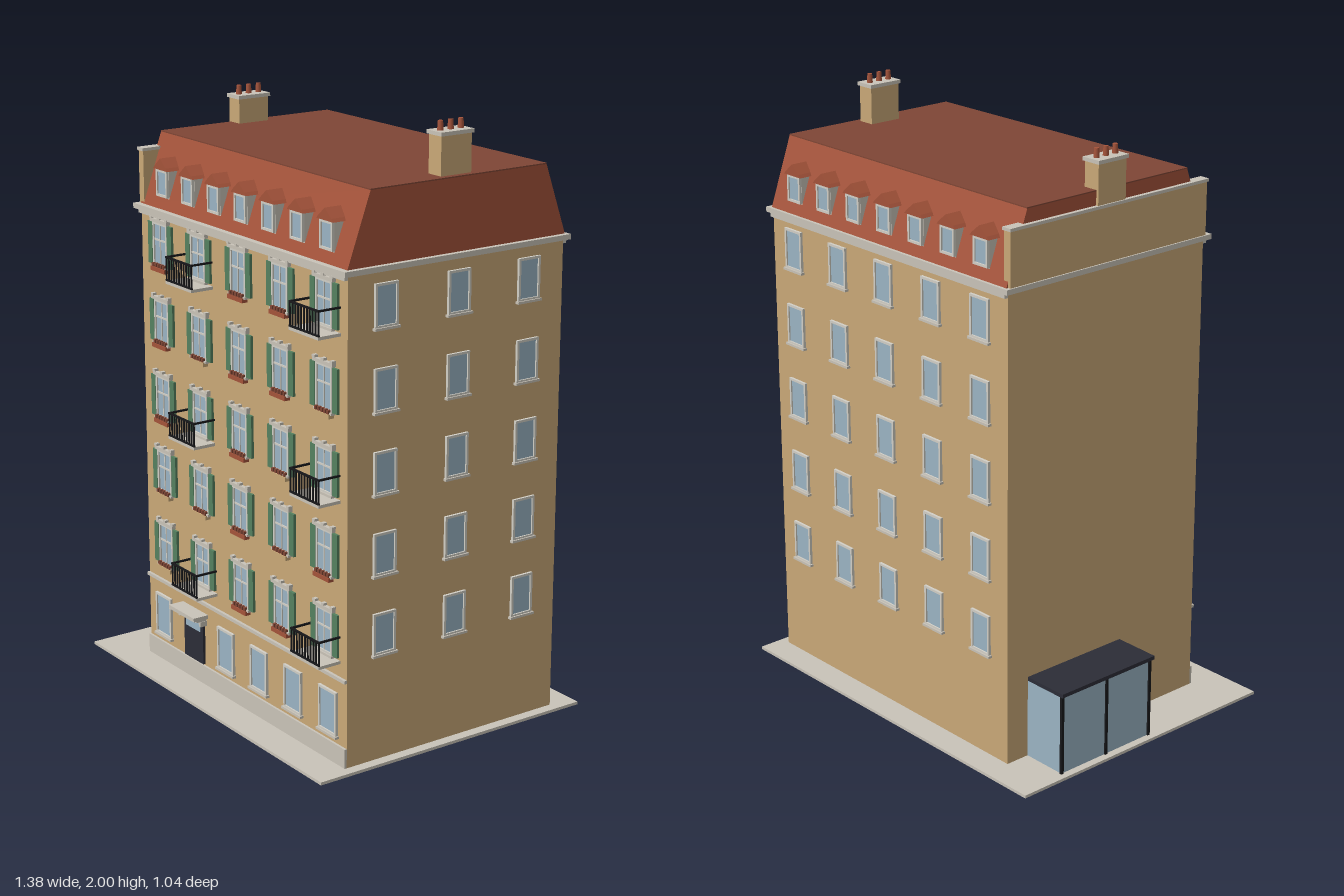
import * as THREE from 'three';

const mat = (name, color) => {
  const m = new THREE.MeshStandardMaterial({ color });
  m.name = name;
  return m;
};
const WALL = mat('ochre render', 0xc9a877);
const STONE = mat('pale stone', 0xc9c3b8);
const TILE = mat('red roof tile', 0xa4533a);
const DECK = mat('brown roof deck', 0x7f4635);
const GLASS = mat('window glass', 0x9ab3c3);
const FRAME = mat('window frame', 0xd2cfc6);
const GREEN = mat('green shutter', 0x55805f);
const DARK = mat('dark slate', 0x2c2d37);
const IRON = mat('black iron', 0x17171a);

// Building extents
const X0 = -0.505, X1 = 0.655, Z0 = -0.431, Z1 = 0.399;
const COLUMNS = [-0.382, -0.153, 0.079, 0.311, 0.543];
const FLOOR = (i) => 0.365 + i * 0.262;

// Box given by its minimum and maximum corners
function box(parent, name, m, x0, x1, y0, y1, z0, z1) {
  const mesh = new THREE.Mesh(new THREE.BoxGeometry(x1 - x0, y1 - y0, z1 - z0), m);
  mesh.position.set((x0 + x1) / 2, (y0 + y1) / 2, (z0 + z1) / 2);
  mesh.name = name;
  parent.add(mesh);
  return mesh;
}

function group(parent, name, x = 0, y = 0, z = 0, turn = 0) {
  const g = new THREE.Group();
  g.name = name;
  g.position.set(x, y, z);
  g.rotation.y = turn;
  parent.add(g);
  return g;
}

// Prism: outline in (z, y), extruded along x from x0 to x1
function prismAlongX(parent, name, m, pts, x0, x1) {
  const shape = new THREE.Shape(pts.map(([z, y]) => new THREE.Vector2(-z, y)));
  const geo = new THREE.ExtrudeGeometry(shape, { depth: x1 - x0, bevelEnabled: false });
  geo.rotateY(Math.PI / 2);
  geo.translate(x0, 0, 0);
  const mesh = new THREE.Mesh(geo, m);
  mesh.name = name;
  parent.add(mesh);
  return mesh;
}

// Framed window facing local +z, sill at local y = 0
function addWindow(g, w, h, sill = true) {
  const a = w / 2, t = 0.008, d = 0.009;
  box(g, 'glass', GLASS, -a + t, a - t, t, h - t, 0, 0.004);
  for (const s of [-1, 1]) {
    const c = s * (a - t / 2);
    box(g, 'frameSide', FRAME, c - t / 2, c + t / 2, 0, h, 0, d);
  }
  box(g, 'frameTop', FRAME, -a + t, a - t, h - t, h, 0, d);
  box(g, 'frameBottom', FRAME, -a + t, a - t, 0, t, 0, d);
  if (sill) box(g, 'sill', STONE, -a - 0.005, a + 0.005, -0.006, 0.002, 0, 0.014);
}

// Front window with glazing bars, lintel crown and shutters
function addFrontWindow(g) {
  addWindow(g, 0.086, 0.146);
  box(g, 'glazingBar', FRAME, -0.002, 0.002, 0.008, 0.138, 0, 0.007);
  box(g, 'glazingRail', FRAME, -0.035, 0.035, 0.084, 0.09, 0, 0.007);
  box(g, 'lintel', STONE, -0.052, 0.052, 0.146, 0.157, 0, 0.014);
  for (const x of [-0.046, 0, 0.046]) box(g, 'crown', STONE, x - 0.007, x + 0.007, 0.157, 0.165, 0, 0.014);
  for (const s of [-1, 1]) {
    box(g, 'shutter', GREEN, s * 0.058 - 0.013, s * 0.058 + 0.013, 0.002, 0.143, 0, 0.009);
  }
}

// Window box, planted when it is red
function addWindowBox(g, red) {
  box(g, 'windowBox', red ? TILE : WALL, -0.042, 0.042, -0.017, -0.003, 0, 0.02);
  for (let i = 0; i < 5; i++) {
    const x = -0.032 + i * 0.016;
    box(g, 'plant', DECK, x - 0.005, x + 0.005, -0.003, 0.009, 0.006, 0.018);
  }
}

// Balcony with iron railing
function addBalcony(g) {
  const a = 0.077, d = 0.082, top = 0.075, t = 0.006;
  box(g, 'balconySlab', STONE, -a, a, -0.016, -0.006, 0, d);
  box(g, 'frontRail', IRON, -a, a, top - t, top, d - t, d);
  box(g, 'footRail', IRON, -a, a, -0.006, -0.001, d - t, d);
  for (const s of [-1, 1]) {
    const c = s * (a - t / 2);
    box(g, 'sideRail', IRON, c - t / 2, c + t / 2, top - t, top, 0, d - t);
  }
  for (let i = 0; i <= 10; i++) {
    const x = -a + 0.003 + (i * (2 * a - 0.006)) / 10;
    box(g, 'baluster', IRON, x - 0.0025, x + 0.0025, -0.006, top - t, d - 0.005, d - 0.001);
  }
}

// Gabled dormer facing local +z; the body runs back into the roof slope
function addDormer(g) {
  box(g, 'dormerBody', STONE, -0.034, 0.034, 0, 0.096, -0.06, 0);
  const win = group(g, 'dormerWindow', 0, 0.004, 0);
  addWindow(win, 0.066, 0.09, false);
  const gable = new THREE.Shape([[-0.043, 0.094], [0.043, 0.094], [0.034, 0.104], [0, 0.132], [-0.034, 0.104]]
    .map(([x, y]) => new THREE.Vector2(x, y)));
  const roof = new THREE.Mesh(new THREE.ExtrudeGeometry(gable, { depth: 0.08, bevelEnabled: false }), TILE);
  roof.position.z = -0.068;
  roof.name = 'dormerRoof';
  g.add(roof);
}

function addChimney(g, base, top) {
  box(g, 'chimneyStack', WALL, -0.03, 0.03, base, top - 0.012, -0.058, 0.058);
  box(g, 'chimneyCap', STONE, -0.036, 0.036, top - 0.012, top, -0.063, 0.063);
  for (const z of [-0.039, 0, 0.039]) {
    const pot = new THREE.Mesh(new THREE.CylinderGeometry(0.008, 0.01, 0.03, 12), TILE);
    pot.position.set(0, top + 0.015, z);
    pot.name = 'chimneyPot';
    g.add(pot);
  }
}

export function createModel() {
  const model = new THREE.Group();
  model.name = 'apartmentBuilding';

  // Pavement, walls, plinth and mouldings
  box(model, 'pavement', STONE, -0.69, 0.69, 0, 0.01, -0.522, 0.522);
  box(model, 'walls', WALL, X0, X1, 0.01, 1.59, Z0, Z1);
  box(model, 'plinth', STONE, X0, X1, 0.01, 0.075, Z1, Z1 + 0.008);
  box(model, 'stringCourse', STONE, X0, X1, 0.295, 0.306, Z1, Z1 + 0.01);
  box(model, 'corniceFront', STONE, X0, X1, 1.574, 1.59, Z1, Z1 + 0.013);
  box(model, 'corniceBack', STONE, X0, X1, 1.574, 1.59, Z0 - 0.013, Z0);
  box(model, 'cornice', STONE, -0.52, 0.672, 1.588, 1.605, -0.448, 0.422);

  // Mansard roof, deck and left fire wall
  prismAlongX(model, 'mansardRoof', TILE, [[0.402, 1.602], [0.318, 1.834], [-0.355, 1.834], [-0.438, 1.602]], X0, X1);
  box(model, 'roofDeck', DECK, X0, X1, 1.834, 1.838, -0.355, 0.318);
  box(model, 'fireWall', WALL, -0.515, -0.487, 1.605, 1.78, -0.43, 0.399);
  box(model, 'fireWallCoping', STONE, -0.519, -0.483, 1.78, 1.79, -0.434, 0.403);

  // Dormers, front and back
  for (let i = 0; i < 7; i++) {
    const x = -0.382 + i * 0.1535;
    addDormer(group(model, 'frontDormer', x, 1.64, 0.388));
    addDormer(group(model, 'backDormer', x, 1.64, -0.424, Math.PI));
  }

  // Chimneys
  addChimney(group(model, 'leftChimney', -0.484, 0, -0.016), 1.6, 1.932);
  addChimney(group(model, 'rightChimney', 0.605, 0, -0.016), 1.8, 1.972);

  // Upper floors: r = red box, t = tan box, b = balcony; lowest floor first
  ['tbrrb', 'ttrtr', 'rbrtb', 'rtrrt', 'rbrrb'].forEach((row, floor) => {
    const y = FLOOR(floor);
    COLUMNS.forEach((x, c) => {
      const front = group(model, 'frontWindow', x, y, Z1);
      addFrontWindow(front);
      if (row[c] === 'b') addBalcony(front);
      else addWindowBox(front, row[c] === 'r');
      addWindow(group(model, 'backWindow', x, y, Z0, Math.PI), 0.086, 0.138);
    });
    for (const z of [0.26, -0.016, -0.291]) {
      addWindow(group(model, 'sideWindow', X1, y, z, Math.PI / 2), 0.086, 0.138);
    }
  });

  // Ground floor windows
  for (const x of [-0.408, -0.021, 0.174, 0.368, 0.56]) {
    addWindow(group(model, 'groundWindow', x, 0.1, Z1), 0.096, 0.148);
  }

  // Entrance door with transom and canopy
  const door = group(model, 'entrance', -0.213, 0, Z1);
  box(door, 'door', DARK, -0.058, 0.058, 0.08, 0.237, 0, 0.009);
  box(door, 'transom', GLASS, -0.044, 0.044, 0.193, 0.229, 0.009, 0.012);
  box(door, 'canopy', STONE, -0.078, 0.078, 0.25, 0.263, 0, 0.057);
  box(door, 'canopyMoulding', STONE, -0.068, 0.068, 0.24, 0.25, 0, 0.04);
  for (const s of [-1, 1]) box(door, 'bracket', STONE, s * 0.064 - 0.006, s * 0.064 + 0.006, 0.222, 0.24, 0, 0.025);

  // Glazed lean-to on the right-hand wall
  const shed = group(model, 'glazedShelter');
  box(shed, 'shelterGlass', GLASS, -0.664, X0, 0.01, 0.285, -0.345, 0.041);
  box(shed, 'shelterRoof', DARK, -0.677, X0 - 0.01, 0.285, 0.298, -0.354, 0.05);
  for (const z of [-0.344, -0.152, 0.04]) {
    box(shed, 'shelterPost', IRON, -0.669, -0.66, 0.01, 0.285, z - 0.005, z + 0.005);
  }
  return model;
}
